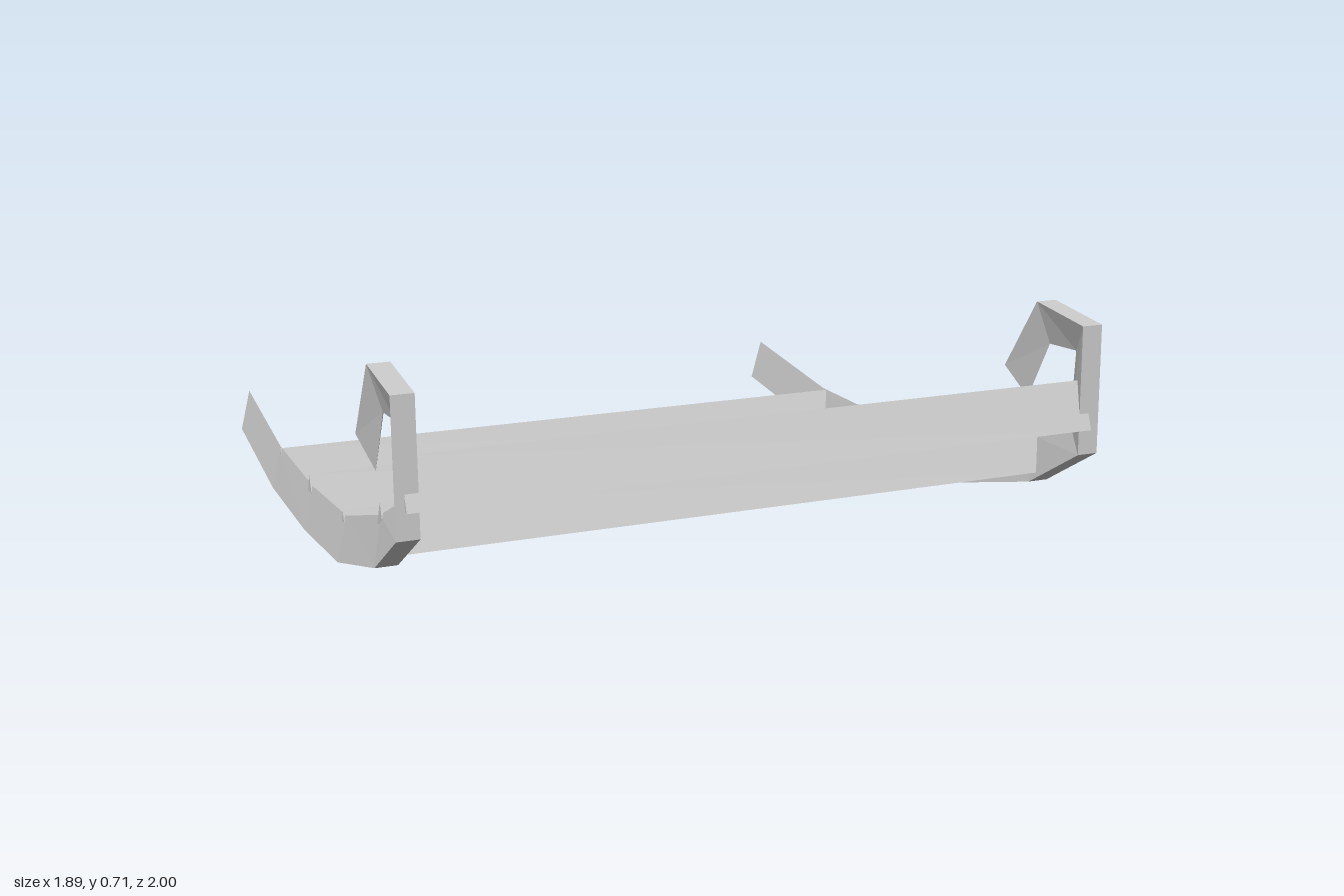
import * as THREE from 'three';

const material = new THREE.MeshStandardMaterial({ color: 0xcccccc, flatShading: true });

// Lofts a closed bar through triangular sections (corners counter-clockwise seen from ahead)
function triangularBar(name, sections) {
  const pos = [];
  const tri = (...pts) => pts.forEach((p) => pos.push(...p));
  const [s, e] = [sections[0], sections[sections.length - 1]];
  tri(s[0], s[2], s[1]);
  tri(e[0], e[1], e[2]);
  for (let i = 0; i < sections.length - 1; i++) {
    const a = sections[i], b = sections[i + 1];
    for (let j = 0; j < 3; j++) {
      const k = (j + 1) % 3;
      tri(a[j], a[k], b[k]);
      tri(a[j], b[k], b[j]);
    }
  }
  const geometry = new THREE.BufferGeometry();
  geometry.setAttribute('position', new THREE.Float32BufferAttribute(pos, 3));
  geometry.computeVertexNormals();
  const mesh = new THREE.Mesh(geometry, material);
  mesh.name = name;
  return mesh;
}

// Runner profile: outer (flat base) z, y and inner (ridge) z, y
const PROFILE = [
  [-1.0, 0.049, -0.992, 0.177],
  [-0.5, 0.004, -0.5, 0.133],
  [-0.05, 0.022, -0.05, 0.148],
  [0.365, 0.073, 0.365, 0.198],
  [0.77, 0.203, 0.73, 0.322],
  [0.985, 0.343, 0.9, 0.405],
  [0.968, 0.686, 0.905, 0.604],
  [0.755, 0.706, 0.785, 0.594],
  [0.62, 0.497, 0.697, 0.422],
];

// Slats: centre z and base height
const SLATS = [[-0.48, 0.01], [-0.07, 0.055], [0.34, 0.081], [0.745, 0.237], [0.945, 0.412]];

export function createModel() {
  const group = new THREE.Group();
  group.name = 'sled';
  const frame = new THREE.Group();
  frame.name = 'frame';
  frame.rotation.z = -0.004; // slight sideways lean
  group.add(frame);

  // Curled runners, flat side outward and ridge inward
  for (const side of [-1, 1]) {
    const x = side * 0.917, w = 0.029;
    frame.add(triangularBar(side > 0 ? 'leftRunner' : 'rightRunner',
      PROFILE.map(([oz, oy, iz, iy]) => [[x - w, oy, oz], [x + w, oy, oz], [x, iy, iz]])));
  }

  // Cross slats, ridge upward
  SLATS.forEach(([z, y], i) => {
    frame.add(triangularBar('slat' + (i + 1), [-0.922, 0.915].map((x) => [
      [x, y, z + 0.052], [x, y, z - 0.052], [x, y + 0.123, z],
    ])));
  });
  return group;
}
